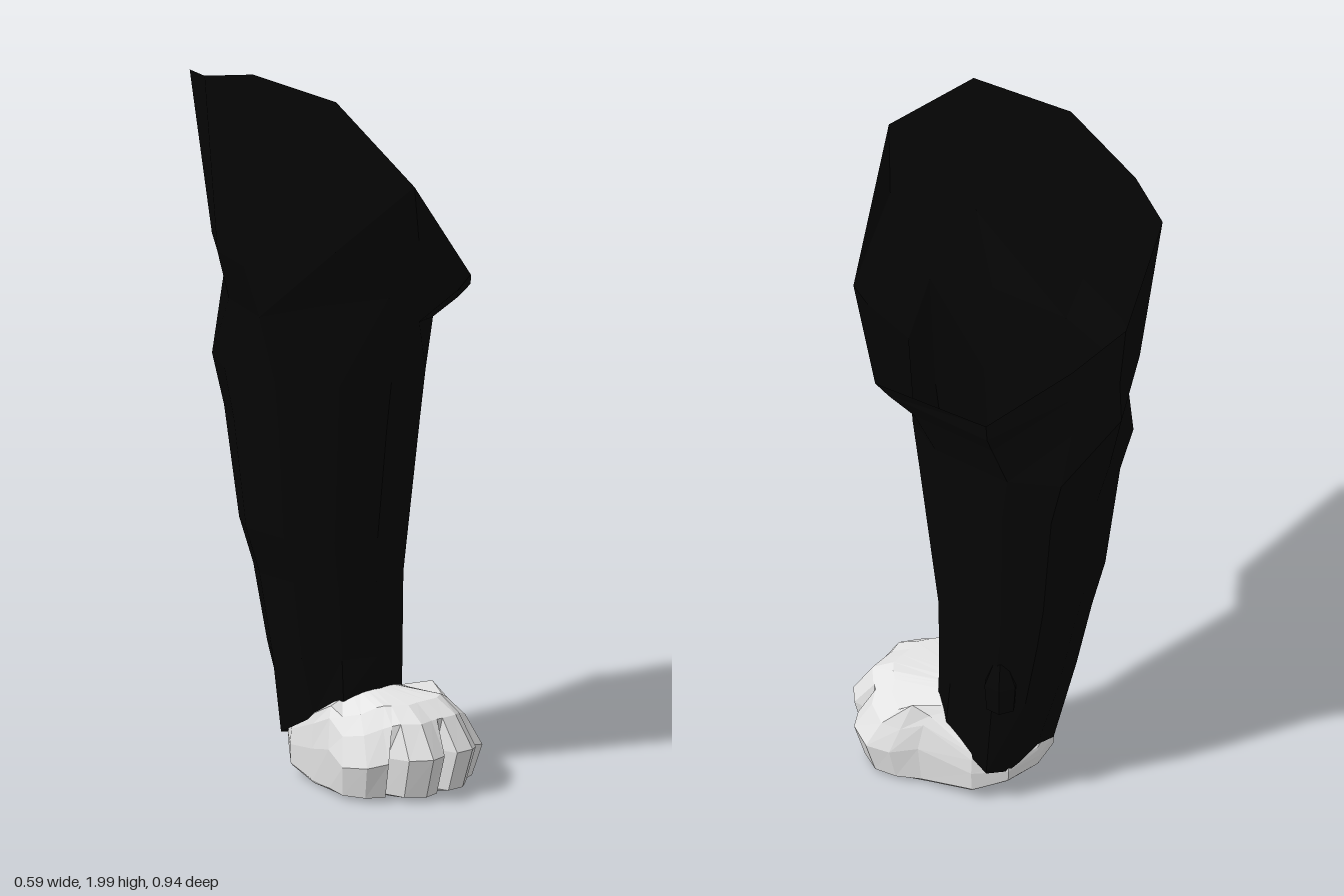
import * as THREE from 'three';

const fur = new THREE.MeshStandardMaterial({ color: 0x050505, flatShading: true, side: THREE.DoubleSide });
fur.name = 'black fur';
const white = new THREE.MeshStandardMaterial({ color: 0xe4e4e4, flatShading: true, side: THREE.DoubleSide });
white.name = 'white paw';

// Skin closed rings (listed bottom to top); an optional centre point caps the first ring.
function loft(rings, capPoint) {
  const n = rings[0].length, pos = rings.flat(2), index = [];
  for (let k = 0; k < rings.length - 1; k++) {
    for (let i = 0; i < n; i++) {
      const a = k * n + i, b = k * n + (i + 1) % n;
      index.push(a, a + n, b, b, a + n, b + n);
    }
  }
  if (capPoint) {
    const c = pos.length / 3;
    pos.push(...capPoint);
    for (let i = 0; i < n; i++) index.push(c, i, (i + 1) % n);
  }
  const g = new THREE.BufferGeometry();
  g.setAttribute('position', new THREE.Float32BufferAttribute(pos, 3));
  g.setIndex(index);
  const flat = g.toNonIndexed();
  flat.computeVertexNormals();
  return flat;
}

function addMesh(parent, name, geometry, material) {
  const m = new THREE.Mesh(geometry, material);
  m.name = name;
  parent.add(m);
  return m;
}

// Level ten-sided ring from its extents, starting at the back and passing +x first.
// It is boxy, except for a slimmer front corner on the -x side.
function oval(y, x0, x1, z0, z1) {
  const ring = [];
  for (let i = 0; i < 10; i++) {
    const p = (i / 10) * Math.PI * 2, e = i === 6 || i === 7 ? 1.12 : 0.75;
    const bend = (v) => Math.sign(v) * Math.abs(v) ** e;
    const x = (x0 + x1) / 2 + ((x1 - x0) / 2) * bend(Math.sin(p)) / 0.963;
    const z = (z0 + z1) / 2 - ((z1 - z0) / 2) * bend(Math.cos(p));
    ring.push([x, y, z]);
  }
  return ring;
}

function legGeometry() {
  // Slanted open shoulder edge, shoulder bulge, elbow and jagged cuff
  const rim = [
    [-0.01, 1.62, -0.46], [0.11, 1.51, -0.37], [0.28, 1.36, -0.21], [0.295, 1.35, 0.15], [0.1, 1.46, 0.37],
    [-0.19, 1.78, 0.47], [-0.275, 1.985, 0.25], [-0.297, 2, -0.06], [-0.24, 1.93, -0.32], [-0.16, 1.9, -0.47],
  ];
  const shoulder = [
    [0.01, 1.45, -0.455], [0.11, 1.42, -0.37], [0.275, 1.31, -0.21], [0.275, 1.31, 0.12], [0.09, 1.41, 0.33],
    [-0.13, 1.61, 0.42], [-0.26, 1.56, 0.23], [-0.298, 1.46, -0.1], [-0.23, 1.45, -0.28], [-0.125, 1.45, -0.42],
  ];
  const elbow = [
    [0.02, 1.34, -0.468], [0.11, 1.3, -0.37], [0.24, 1.25, -0.2], [0.24, 1.25, 0.06], [0.04, 1.31, 0.23],
    [-0.1, 1.41, 0.265], [-0.2, 1.38, 0.13], [-0.275, 1.32, -0.06], [-0.215, 1.32, -0.25], [-0.09, 1.34, -0.41],
  ];
  const cuff = [
    [0.045, 0.15, -0.205], [0.13, 0.1, -0.18], [0.2, 0.12, -0.15], [0.18, 0.19, 0], [0.12, 0.235, 0.07],
    [0.03, 0.25, 0.09], [-0.08, 0.235, 0.06], [-0.125, 0.19, -0.01], [-0.135, 0.125, -0.13], [-0.06, 0.1, -0.18],
  ];
  return loft([
    cuff,
    oval(0.35, -0.145, 0.18, -0.255, 0.085),
    oval(0.56, -0.16, 0.19, -0.302, 0.085),
    oval(0.69, -0.2, 0.195, -0.325, 0.11),
    oval(1.0, -0.235, 0.205, -0.36, 0.16),
    oval(1.14, -0.25, 0.21, -0.4, 0.185),
    elbow, shoulder, rim,
  ]);
}

function pawGeometry() {
  // Footprint with four toes, from the heel round by +x
  const outline = [
    [0.04, -0.205], [0.14, -0.18], [0.2, -0.1], [0.225, 0.06], [0.26, 0.13], [0.27, 0.2], [0.23, 0.27], [0.185, 0.29],
    [0.165, 0.245], [0.162, 0.32], [0.12, 0.355], [0.065, 0.355], [0.045, 0.29], [0.02, 0.355], [-0.03, 0.367],
    [-0.08, 0.325], [-0.095, 0.25], [-0.118, 0.285], [-0.165, 0.25], [-0.19, 0.18], [-0.17, 0.1], [-0.14, 0],
    [-0.13, -0.1], [-0.07, -0.175],
  ];
  // The same footprint with the gaps between the toes filled, for the upper side
  const filled = outline.map((p, i) => ([8, 12, 16].includes(i)
    ? p.map((v, j) => (outline[i - 1][j] + outline[i + 1][j]) / 2) : p));
  const cx = 0.035, cz = -0.06;
  const top = (x, z) => THREE.MathUtils.clamp(0.205 + 0.5 * z, 0.135, 0.255)
    - (z > 0.1 ? 0.5 * Math.max(0, Math.abs(x - 0.03) - 0.1) : 0);
  const sole = (z) => 0.008 + Math.max(0, -0.03 - z) * 0.42;
  // t is the height within the paw, w the pull toward the ankle opening
  const ring = (print, t, w) => print.map(([x, z]) => {
    const a = Math.atan2(x - cx, z - cz);
    const px = THREE.MathUtils.lerp(x, cx + 0.148 * Math.sin(a), w);
    const pz = THREE.MathUtils.lerp(z, cz + 0.138 * Math.cos(a), w);
    return [px, THREE.MathUtils.lerp(sole(pz), top(px, pz), t), pz];
  });
  return loft([
    ring(outline, 0, 0.35), ring(outline, 0.05, 0.12), ring(outline, 0.5, 0),
    ring(filled, 0.85, 0.2), ring(filled, 1, 0.42), ring(filled, 1.08, 1),
  ], [0.04, 0.025, 0.05]);
}

export function createModel() {
  const model = new THREE.Group();
  model.name = 'animalLeg';
  addMesh(model, 'leg', legGeometry(), fur);
  addMesh(model, 'paw', pawGeometry(), white);

  // Small wrist pad on the inner rear side
  const profile = [[0, 0], [0.042, 0], [0.048, 0.08], [0.02, 0.15]].map(([r, y]) => new THREE.Vector2(r, y));
  const pad = addMesh(model, 'wristPad', new THREE.LatheGeometry(profile, 6), fur);
  pad.position.set(0.167, 0.34, -0.175);
  return model;
}
